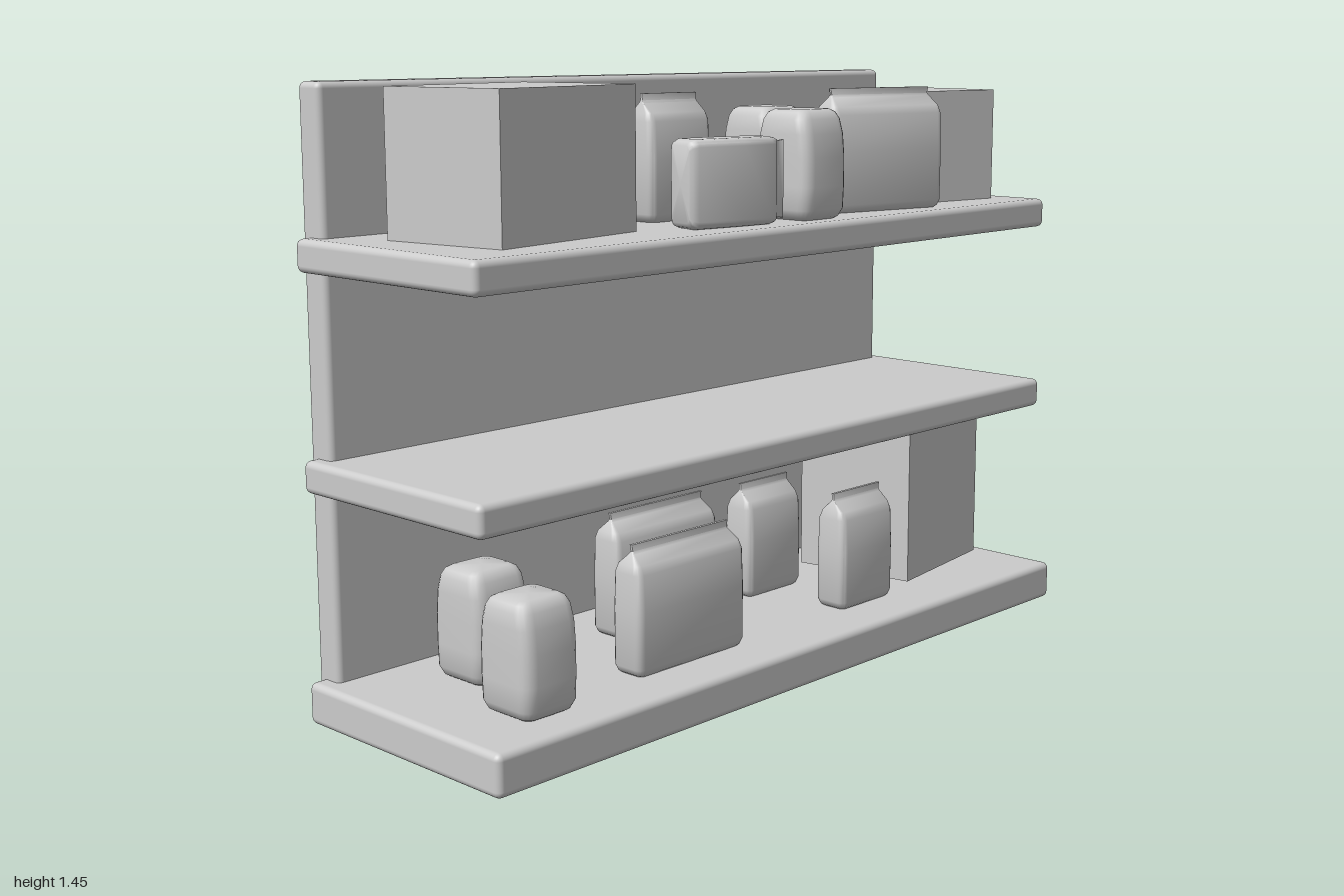
import * as THREE from 'three';
import { RoundedBoxGeometry } from 'three/addons/geometries/RoundedBoxGeometry.js';
import { toCreasedNormals } from 'three/addons/utils/BufferGeometryUtils.js';

const material = new THREE.MeshStandardMaterial({ color: 0xcccccc });

function add(parent, name, geometry, x, y, z, yaw = 0) {
  const mesh = new THREE.Mesh(geometry, material);
  mesh.name = name;
  mesh.position.set(x, y, z);
  mesh.rotation.y = yaw;
  parent.add(mesh);
  return mesh;
}

// Rounded-rectangle outline in the xz plane
function outline(hw, hd, r) {
  const points = [], steps = 4;
  const corners = [[1, 1], [-1, 1], [-1, -1], [1, -1]];
  corners.forEach(([sx, sz], q) => {
    for (let i = 0; i <= steps; i++) {
      const a = (q + i / steps) * Math.PI / 2;
      points.push([sx * (hw - r) + r * Math.cos(a), sz * (hd - r) + r * Math.sin(a)]);
    }
  });
  return points;
}

// Skin over stacked outlines, each [y, halfWidth, halfDepth, cornerRadius], capped at both ends
function loft(sections) {
  const position = [], index = [];
  const n = 20, last = sections.length - 1;
  sections.forEach(([y, hw, hd, r]) => {
    outline(hw, hd, r).forEach(([x, z]) => position.push(x, y, z));
  });
  for (let s = 0; s < last; s++) {
    for (let j = 0; j < n; j++) {
      const a = s * n + j, b = s * n + (j + 1) % n;
      index.push(a, a + n, b, b, a + n, b + n);
    }
  }
  const bottom = position.length / 3, top = bottom + 1;
  position.push(0, sections[0][0], 0, 0, sections[last][0], 0);
  for (let j = 0; j < n; j++) {
    const k = (j + 1) % n;
    index.push(bottom, j, k, top, last * n + k, last * n + j);
  }
  const geometry = new THREE.BufferGeometry();
  geometry.setAttribute('position', new THREE.Float32BufferAttribute(position, 3));
  geometry.setIndex(index);
  return toCreasedNormals(geometry, 0.7);
}

// Flat pouch: full body, roof-like shoulders and a thin sealed strip on top
function pouch(w, h) {
  const hw = w / 2;
  return loft([
    [0, hw - 0.015, 0.034, 0.012],
    [0.006, hw - 0.006, 0.041, 0.015],
    [0.02, hw, 0.046, 0.018],
    [h * 0.5, hw, 0.047, 0.018],
    [h - 0.065, hw, 0.043, 0.018],
    [h - 0.045, hw - 0.004, 0.034, 0.014],
    [h - 0.022, hw * 0.9, 0.008, 0.004],
    [h - 0.016, hw * 0.88, 0.004, 0.002],
    [h, hw * 0.9, 0.004, 0.002],
  ]);
}

// Plump packet with rounded edges, narrowing towards its top
function packet() {
  return loft([
    [0, 0.058, 0.062, 0.02],
    [0.006, 0.068, 0.073, 0.025],
    [0.025, 0.077, 0.083, 0.03],
    [0.08, 0.078, 0.085, 0.03],
    [0.15, 0.078, 0.085, 0.03],
    [0.205, 0.078, 0.08, 0.03],
    [0.24, 0.076, 0.071, 0.03],
    [0.256, 0.068, 0.061, 0.025],
    [0.263, 0.056, 0.048, 0.02],
  ]);
}

export function createModel() {
  const model = new THREE.Group();
  model.name = 'stockedShelf';

  // Back panel and three shelves
  add(model, 'backPanel', new RoundedBoxGeometry(1.92, 1.45, 0.076, 3, 0.015), 0, 0.728, -0.299);
  const shelves = [
    ['bottomShelf', 2, 0.098, 0.66, 0.057, 0.01],
    ['middleShelf', 1.99, 0.075, 0.61, 0.5825, -0.013],
    ['topShelf', 1.99, 0.075, 0.61, 1.077, -0.013],
  ];
  for (const [name, w, h, d, y, z] of shelves) {
    add(model, name, new RoundedBoxGeometry(w, h, d, 3, 0.016), 0, y, z);
  }

  // Plain cartons: width, height, depth, x, base y, z, yaw
  const cartons = [
    [0.46, 0.33, 0.325, -0.627, 1.114, -0.012, 0.153],
    [0.298, 0.292, 0.33, 0.787, 1.114, -0.01, -0.152],
    [0.385, 0.405, 0.334, 0.715, 0.115, -0.005, 0.153],
  ];
  cartons.forEach(([w, h, d, x, y, z, yaw], i) => {
    add(model, 'carton' + (i + 1), new THREE.BoxGeometry(w, h, d), x, y + h / 2, z, yaw);
  });

  // Packets: x, base y, z
  const packets = [
    [0.127, 1.114, 0.17], [0.207, 1.114, -0.018],
    [-0.77, 0.105, 0.175], [-0.692, 0.105, -0.075],
  ];
  packets.forEach(([x, y, z], i) => add(model, 'packet' + (i + 1), packet(), x, y, z));

  // Standing pouches: width, height, x, base y, z, yaw
  const pouches = [
    [0.205, 0.302, -0.123, 1.114, -0.033, 0],
    [0.355, 0.307, 0.437, 1.114, 0.16, -0.2],
    [0.355, 0.307, -0.298, 0.105, 0.172, 0],
    [0.355, 0.307, -0.13, 0.105, -0.075, 0],
    [0.205, 0.3, 0.348, 0.105, 0.172, 0],
    [0.205, 0.3, 0.268, 0.105, -0.075, 0],
  ];
  pouches.forEach(([w, h, x, y, z, yaw], i) => {
    add(model, 'pouch' + (i + 1), pouch(w, h), x, y, z, yaw);
  });

  // Pouch lying on its side, sealed end towards the left
  const fallen = new THREE.Group();
  fallen.name = 'fallenPouch';
  fallen.position.set(-0.13, 1.217, 0.18);
  fallen.rotation.y = -0.15;
  add(fallen, 'fallenPouchBody', pouch(0.205, 0.302), -0.15, 0, 0).rotation.z = -Math.PI / 2;
  model.add(fallen);

  return model;
}
